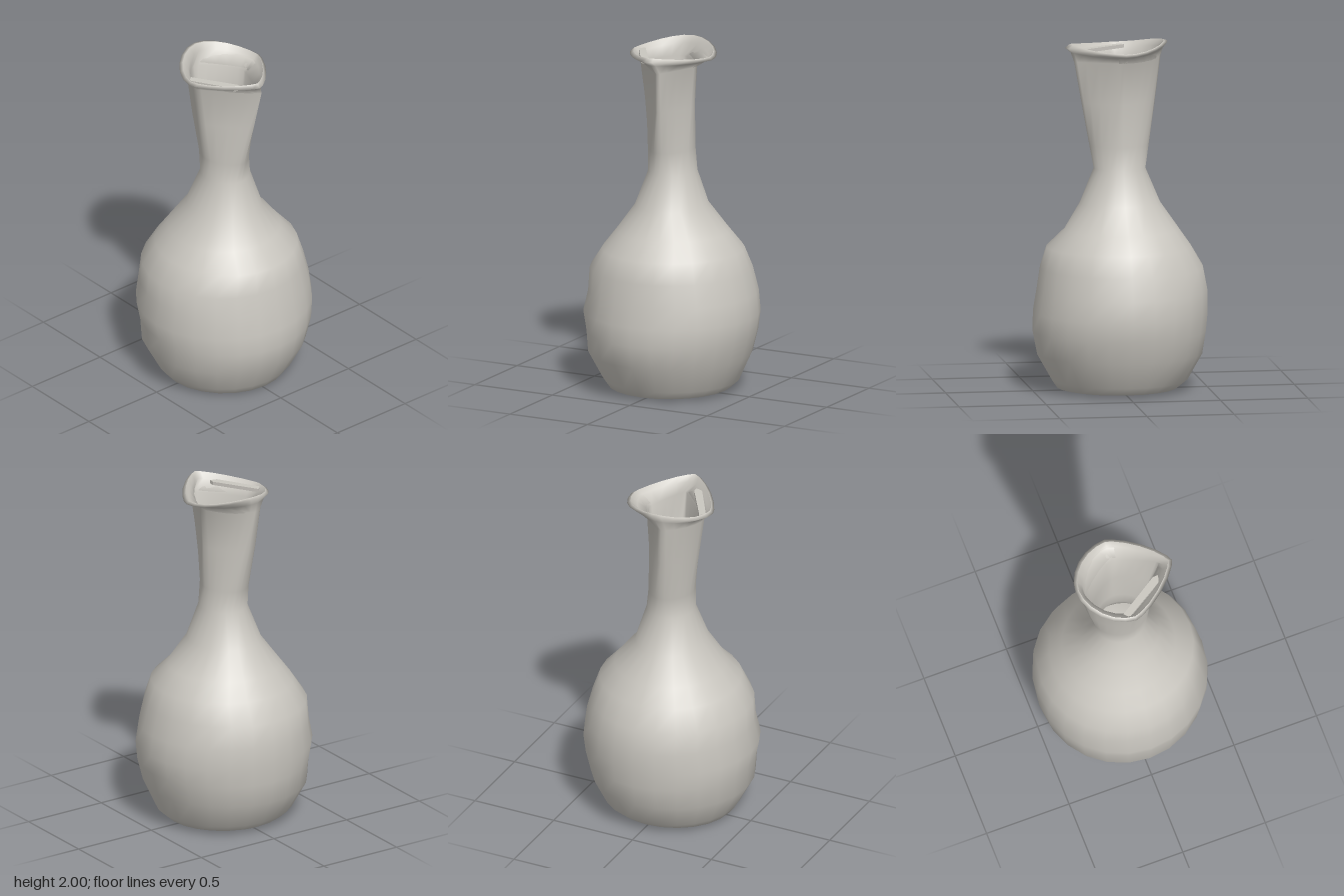
import * as THREE from 'three';

const SIDES = 24;

// Each row: y, right x, left x, front z, back z, front pinch, back pinch, front lift, back lift, front shift in x
const outerRows = [
  [0.0, 0.001, 0.001, 0.001, 0.001],
  [0.0, 0.25, 0.27, 0.30, 0.30],
  [0.015, 0.34, 0.36, 0.36, 0.33],
  [0.06, 0.39, 0.395, 0.39, 0.385],
  [0.21, 0.455, 0.475, 0.475, 0.47],
  [0.34, 0.49, 0.48, 0.50, 0.49],
  [0.45, 0.505, 0.505, 0.495, 0.50],
  [0.57, 0.49, 0.475, 0.475, 0.50],
  [0.70, 0.455, 0.47, 0.455, 0.475],
  [0.82, 0.415, 0.39, 0.42, 0.405],
  [0.92, 0.325, 0.315, 0.315, 0.335],
  [1.07, 0.205, 0.205, 0.23, 0.23],
  [1.27, 0.145, 0.13, 0.15, 0.145],
  [1.40, 0.13, 0.135, 0.175, 0.165, 1.2, 1.1],
  [1.65, 0.14, 0.17, 0.225, 0.205, 1.65, 1.3, 0, 0, 0.03],
  [1.89, 0.16, 0.205, 0.27, 0.24, 1.9, 1.45, 0, 0.01, 0.05],
  [1.925, 0.21, 0.225, 0.285, 0.25, 1.6, 1.2, 0.015, 0.03, 0.02],
  [1.94, 0.26, 0.26, 0.315, 0.27, 1.5, 1.1, 0.025, 0.055],
  [1.955, 0.24, 0.24, 0.29, 0.25, 1.5, 1.1, 0.03, 0.045],
];

// Inside of the mouth and neck, then the hollow belly a wall's thickness in
const WALL = 0.03;
const innerRows = [
  [1.955, 0.24, 0.24, 0.29, 0.25, 1.5, 1.1, 0.03, 0.045],
  [1.93, 0.22, 0.215, 0.26, 0.225, 1.5, 1.2, 0.02, 0.03],
  [1.88, 0.145, 0.18, 0.25, 0.22, 1.8, 1.4, 0, 0, 0.04],
  [1.65, 0.125, 0.15, 0.20, 0.185, 1.6, 1.3, 0, 0, 0.03],
  [1.40, 0.11, 0.115, 0.15, 0.14, 1.2, 1.1],
  ...outerRows.slice(3, 13).reverse().map(([y, ...reach]) => [y, ...reach.map((r) => r - WALL)]),
  [0.04, 0.001, 0.001, 0.001, 0.001],
];

// Joins uneven oval cross-sections into one smooth skin
function loft(rows) {
  const pos = [], index = [];
  for (const row of rows) {
    const [y, right, left, front, back, pinchF = 1, pinchB = 1, liftF = 0, liftB = 0, shift = 0] = row;
    for (let i = 0; i < SIDES; i++) {
      const a = (i / SIDES) * Math.PI * 2;
      const c = Math.cos(a), s = Math.sin(a);
      const p = s > 0 ? pinchF : pinchB;
      const u = Math.sign(c) * Math.pow(Math.abs(c), p);
      const v = Math.sign(s) * Math.pow(Math.abs(s), p);
      pos.push(
        u * (c > 0 ? right : left) + shift * v,
        y + (s > 0 ? liftF : liftB) * v * v,
        v * (s > 0 ? front : back)
      );
    }
  }
  for (let r = 0; r < rows.length - 1; r++) {
    for (let i = 0; i < SIDES; i++) {
      const j = (i + 1) % SIDES;
      const a = r * SIDES + i, b = r * SIDES + j;
      const c = a + SIDES, d = b + SIDES;
      index.push(a, c, b, b, c, d);
    }
  }
  const geo = new THREE.BufferGeometry();
  geo.setAttribute('position', new THREE.Float32BufferAttribute(pos, 3));
  geo.setIndex(index);
  geo.computeVertexNormals();
  return geo;
}

export function createModel() {
  const group = new THREE.Group();
  group.name = 'vase';
  const clay = new THREE.MeshStandardMaterial({ color: 0xcac7c0, side: THREE.DoubleSide });
  clay.name = 'warm grey clay';

  const add = (name, geo) => {
    const mesh = new THREE.Mesh(geo, clay);
    mesh.name = name;
    group.add(mesh);
  };

  // Round belly, neck and flared lip
  add('outerWall', loft(outerRows));
  add('innerWall', loft(innerRows));

  // Thin fold of clay inside the left of the mouth
  const fold = new THREE.Shape([
    new THREE.Vector2(-0.23, -0.03),
    new THREE.Vector2(-0.20, -0.055),
    new THREE.Vector2(-0.05, 0.18),
    new THREE.Vector2(-0.05, 0.21),
    new THREE.Vector2(-0.09, 0.20),
  ]);
  const foldGeo = new THREE.ExtrudeGeometry(fold, { depth: 0.02, bevelEnabled: false });
  foldGeo.rotateX(Math.PI / 2);
  foldGeo.translate(0, 1.945, 0);
  add('mouthFold', foldGeo);

  return group;
}
